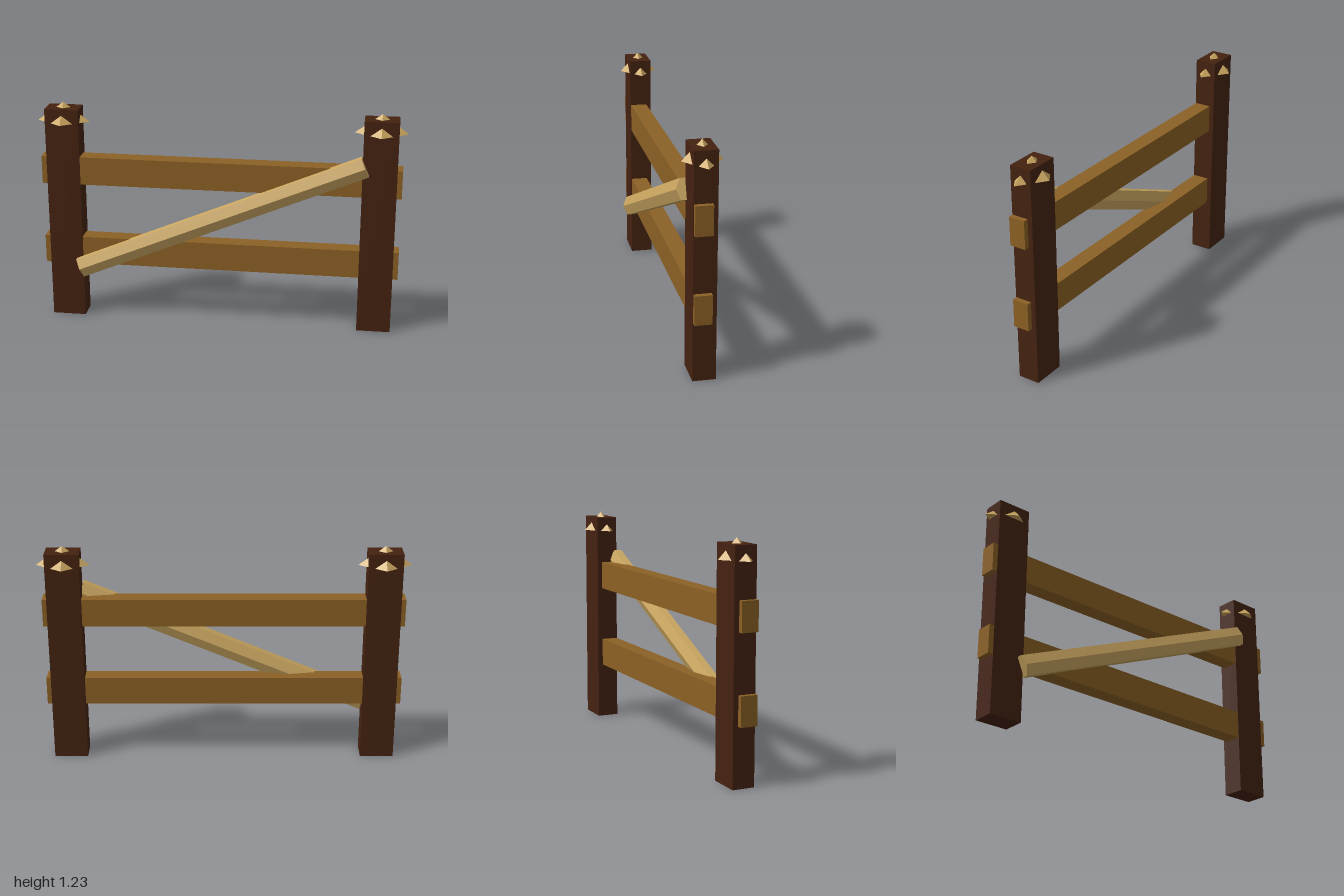
import * as THREE from 'three';

function material(name, color) {
  const m = new THREE.MeshStandardMaterial({ color });
  m.name = name;
  return m;
}

// Hard-edged copy of a geometry
function faceted(geometry) {
  const g = geometry.toNonIndexed();
  g.computeVertexNormals();
  return g;
}

export function createModel() {
  const darkWood = material('dark wood', 0x442210);
  const midWood = material('mid wood', 0x8c6125);
  const paleWood = material('pale wood', 0xcaa660);
  const model = new THREE.Group();
  model.name = 'fence';

  function add(name, geometry, mat, x, y, z) {
    const mesh = new THREE.Mesh(geometry, mat);
    mesh.name = name;
    mesh.position.set(x, y, z);
    model.add(mesh);
    return mesh;
  }

  // Posts, each with a four-sided cap poking out through its faces
  const postGeometry = new THREE.BoxGeometry(0.184, 1.2, 0.12);
  const capGeometry = faceted(new THREE.ConeGeometry(0.143, 0.106, 4).scale(1, 1, 0.72));
  for (const [side, x] of [['left', 0.857], ['right', -0.857]]) {
    add(side + 'Post', postGeometry, darkWood, x, 0.6, -0.003);
    add(side + 'PostCap', capGeometry, paleWood, x, 1.176, -0.003);
  }

  // Horizontal rails running through both posts
  const railGeometry = new THREE.BoxGeometry(1.954, 0.156, 0.091);
  add('lowerRail', railGeometry, midWood, 0, 0.394, 0.0095);
  add('upperRail', railGeometry, midWood, 0, 0.858, 0.0095);

  // Diagonal six-sided brace, with one ridge facing forward
  const dx = 1.558, dy = 0.66;
  const braceGeometry = faceted(
    new THREE.CylinderGeometry(1, 1, Math.hypot(dx, dy), 6).scale(0.0625, 1, 0.044));
  const brace = add('diagonalBrace', braceGeometry, paleWood, 0, 0.625, 0.063);
  brace.rotation.z = -Math.atan2(dx, dy);

  return model;
}
